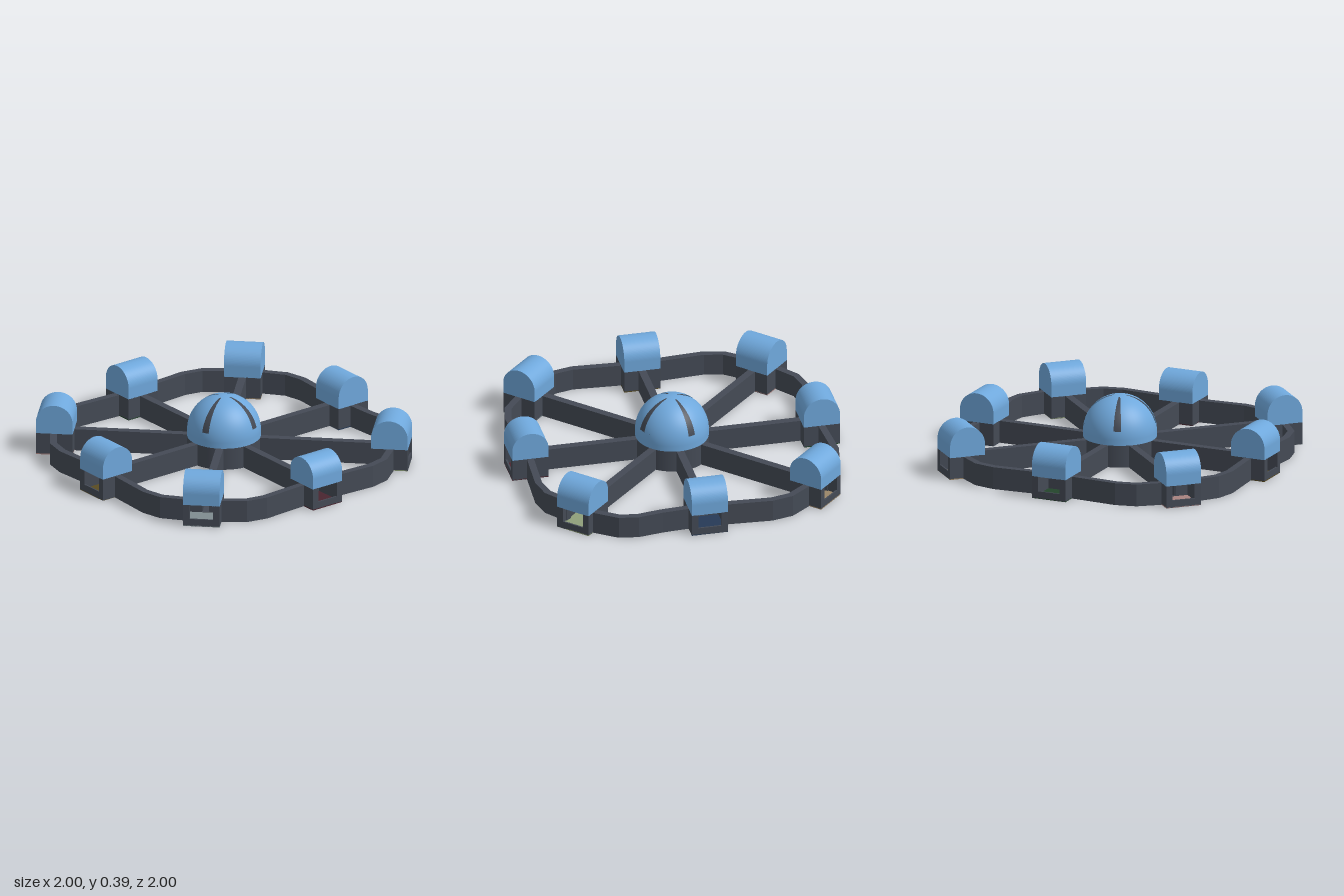
import * as THREE from 'three';

const H = 0.135;   // corridor height
const S = 0.22;    // pod footprint, hub and dome radius
const dark = new THREE.MeshStandardMaterial({ color: 0x444a55, side: THREE.DoubleSide });
const blue = new THREE.MeshStandardMaterial({ color: 0x6fa8dc, side: THREE.DoubleSide });

function add(parent, name, geometry, material, x = 0, y = 0, z = 0) {
  const mesh = new THREE.Mesh(geometry, material);
  mesh.name = name;
  mesh.position.set(x, y, z);
  parent.add(mesh);
  return mesh;
}

const extrude = (shape, depth) =>
  new THREE.ExtrudeGeometry(shape, { depth, bevelEnabled: false, curveSegments: 24 });

const polygon = (pts) => new THREE.Shape(pts.map(([x, y]) => new THREE.Vector2(x, y)));

// wall with an opening reaching its top edge
const openWall = (halfOpening, sill) => extrude(polygon([
  [-S / 2, 0], [S / 2, 0], [S / 2, H], [halfOpening, H],
  [halfOpening, sill], [-halfOpening, sill], [-halfOpening, H], [-S / 2, H],
]), 0.01);

// barrel vault outline, optionally hollowed from below
function vault(hollow) {
  const r = S / 2, i = r - 0.008, spring = 0.07;
  const s = new THREE.Shape();
  s.moveTo(r, 0);
  s.lineTo(r, spring);
  s.absarc(0, spring, r, 0, Math.PI, false);
  s.lineTo(-r, 0);
  if (hollow) {
    s.lineTo(-i, 0);
    s.lineTo(-i, spring);
    s.absarc(0, spring, i, Math.PI, 0, true);
    s.lineTo(i, 0);
  }
  return s;
}

// pod: open base with window and doorway, coloured floor, vaulted roof
function makePod(floorColor) {
  const pod = new THREE.Group();
  pod.name = 'pod';
  add(pod, 'podFloor', new THREE.BoxGeometry(S, 0.006, S),
    new THREE.MeshStandardMaterial({ color: floorColor }), 0, 0.003, 0);
  add(pod, 'windowWall', openWall(0.07, 0.045), dark, 0, 0.001, S / 2 - 0.01);
  add(pod, 'doorWall', openWall(0.023, 0.008), dark, 0, 0.001, -S / 2);
  for (const s of [-1, 1]) {
    add(pod, 'sideWall', new THREE.BoxGeometry(0.01, H, S - 0.02), dark, s * (S / 2 - 0.005), H / 2 + 0.001, 0);
  }
  const roof = new THREE.Group();
  roof.name = 'podRoof';
  roof.position.y = H;
  roof.rotation.y = Math.PI / 2;
  add(roof, 'vault', extrude(vault(true), S), blue, 0, 0, -S / 2);
  for (const z of [-S / 2, S / 2 - 0.008]) add(roof, 'vaultEnd', extrude(vault(false), 0.008), blue, 0, 0, z);
  pod.add(roof);
  return pod;
}

// hollow corridor running along z
function corridor(length) {
  const w = 0.023, t = 0.003;
  const s = polygon([[-w, 0], [w, 0], [w, H], [-w, H]]);
  s.holes.push(new THREE.Path([[-w + t, t], [-w + t, H - t], [w - t, H - t], [w - t, t]]
    .map(([x, y]) => new THREE.Vector2(x, y))));
  return extrude(s, length);
}

// upright band of constant width following a plan polyline of [x, z] points
function band(pts, width) {
  const v = pts.map(([x, z]) => new THREE.Vector2(x, -z));
  const left = [], right = [];
  v.forEach((p, i) => {
    const a = v[Math.max(i - 1, 0)], b = v[Math.min(i + 1, v.length - 1)];
    const d = b.clone().sub(a).normalize().multiplyScalar(width / 2);
    left.push(new THREE.Vector2(p.x - d.y, p.y + d.x));
    right.unshift(new THREE.Vector2(p.x + d.y, p.y - d.x));
  });
  return extrude(new THREE.Shape([...left, ...right]), H).rotateX(-Math.PI / 2);
}

function makeHub() {
  const hub = new THREE.Group();
  hub.name = 'hub';
  add(hub, 'hubFloor', new THREE.CylinderGeometry(S, S, 0.006, 48), dark, 0, 0.003, 0);
  // wall pieces between the eight doorways
  const gap = Math.asin(0.023 / S);
  for (let k = 0; k < 8; k++) {
    add(hub, 'hubWall', new THREE.CylinderGeometry(S, S, H, 8, 1, true,
      k * Math.PI / 4 + gap, Math.PI / 4 - 2 * gap), dark, 0, H / 2, 0);
  }
  // dome: collar, lower ring, crown and four panels separated by dark slits
  const cy = 0.17, top = 0.18, low = 1.34, slit = 0.21;
  const patch = (phi, span, t0, t1, seg) => new THREE.SphereGeometry(S, seg, 16, phi, span, t0, t1 - t0);
  add(hub, 'domeCollar', new THREE.CylinderGeometry(S, S, cy - H, 48, 1, true), blue, 0, (cy + H) / 2, 0);
  add(hub, 'domeBase', patch(0, Math.PI * 2, low, Math.PI / 2, 48), blue, 0, cy, 0);
  add(hub, 'domeCrown', patch(0, Math.PI * 2, 0, top, 48), blue, 0, cy, 0);
  for (let k = 0; k < 4; k++) {
    const phi = Math.PI + 0.36 + slit / 2 + k * Math.PI / 2;
    add(hub, 'domePanel', patch(phi, Math.PI / 2 - slit, top, low, 12), blue, 0, cy, 0);
  }
  add(hub, 'domeGlazing', new THREE.SphereGeometry(S - 0.006, 48, 16, 0, Math.PI * 2, 0, Math.PI / 2), dark, 0, cy, 0);
  return hub;
}

export function createModel() {
  const model = new THREE.Group();
  model.name = 'station';
  model.add(makeHub());

  // pods and spokes, starting at the front and turning towards +x
  const floors = [0x4a2530, 0x8f9f7a, 0x263a56, 0x9a8568, 0x24452c, 0xa8827f, 0x5a4c22, 0x7f8c90];
  floors.forEach((color, k) => {
    const arm = new THREE.Group();
    arm.name = 'arm';
    arm.rotation.y = k * Math.PI / 4;
    const r = k % 2 ? 1.004 : 0.89;
    const pod = makePod(color);
    pod.position.z = r;
    if (k === 0) pod.getObjectByName('podRoof').scale.y = 0.945;
    arm.add(pod);
    const start = 0.2187;
    add(arm, 'spoke', corridor(r - S / 2 - start), dark, 0, 0, start);
    model.add(arm);
  });

  // rim: eight bent bands from each straight pod to its diagonal neighbours
  const bend = [[0.11, 0.89], [0.4, 0.907], [0.52, 0.88], [0.65, 0.78]];
  const wideBend = [[0.11, 0.89], [0.27, 0.9], [0.42, 0.922], [0.53, 0.905], [0.68, 0.8]];
  for (const sx of [-1, 1]) for (const sz of [-1, 1]) for (const swap of [false, true]) {
    const source = swap && sx > 0 && sz > 0 ? wideBend : bend;
    const pts = source.map(([a, b]) => (swap ? [sx * b, sz * a] : [sx * a, sz * b]));
    add(model, 'rim', band(pts, 0.042), dark);
  }
  return model;
}
